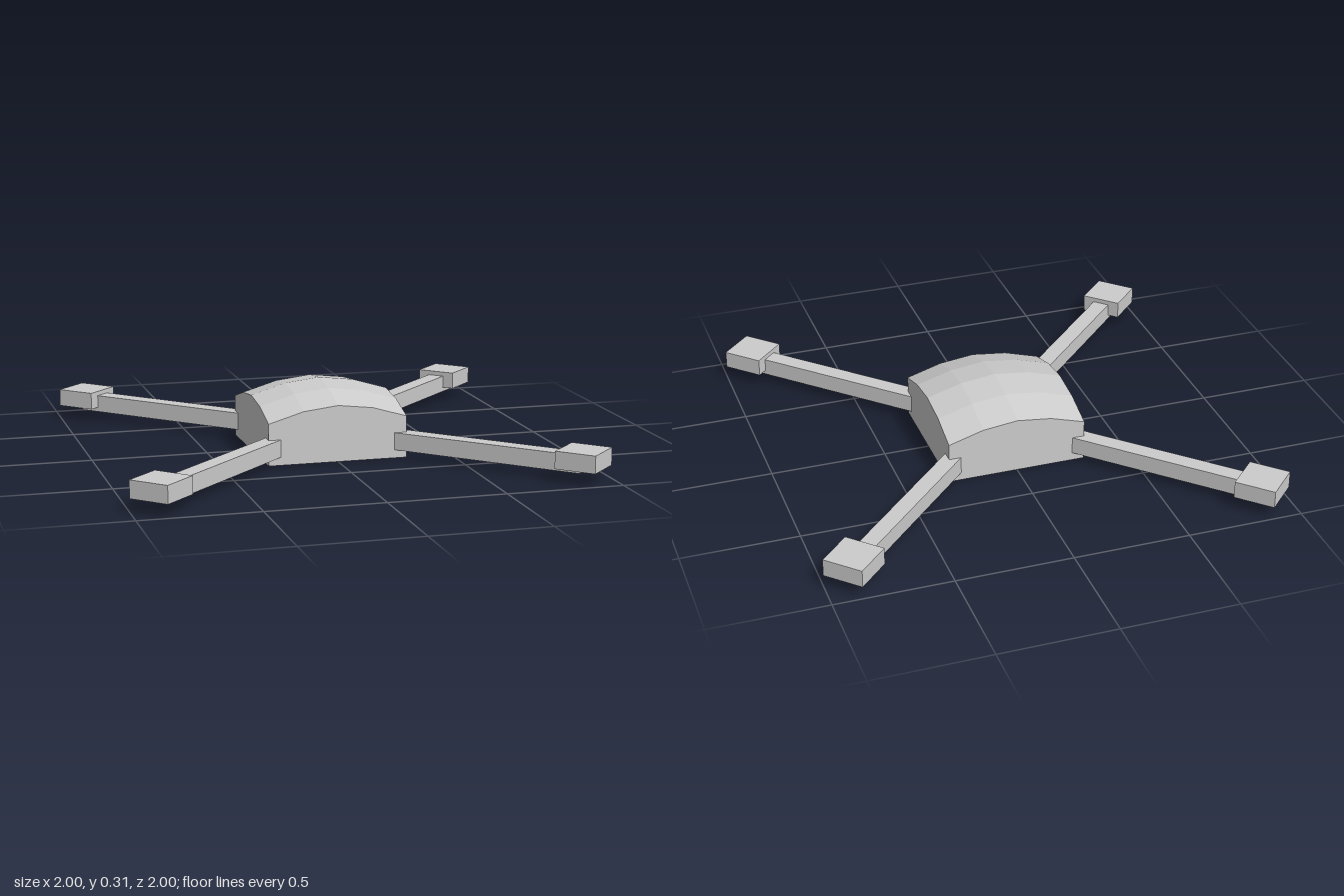
import * as THREE from 'three';

const grey = new THREE.MeshStandardMaterial({ color: 0xcccccc, flatShading: true });

function box(name, w, h, d, x, y, z) {
  const mesh = new THREE.Mesh(new THREE.BoxGeometry(w, h, d), grey);
  mesh.name = name;
  mesh.position.set(x, y, z);
  return mesh;
}

// Square hull whose lid bulges along both axes
function createHull() {
  const geo = new THREE.BoxGeometry(0.606, 1, 0.606, 4, 1, 4);
  const pos = geo.attributes.position;
  const drop = (t) => [0, 0.018, 0.063][Math.round(Math.abs(t) / 0.1515)];
  for (let i = 0; i < pos.count; i++) {
    const top = 0.306 - drop(pos.getX(i)) - drop(pos.getZ(i));
    pos.setY(i, pos.getY(i) > 0 ? top : 0);
  }
  geo.computeVertexNormals();
  const hull = new THREE.Mesh(geo, grey);
  hull.name = 'hull';
  return hull;
}

// Beam along +x with a block resting over its outer end
function createArm() {
  const arm = new THREE.Group();
  arm.name = 'arm';
  const reach = 0.875 * Math.SQRT2;
  const start = 0.3;
  arm.add(box('armBeam', reach - start, 0.075, 0.075, (reach + start) / 2, 0.0725, 0));
  arm.add(box('motorBlock', 0.177, 0.075, 0.177, reach, 0.0925, 0));
  return arm;
}

export function createModel() {
  const model = new THREE.Group();
  model.name = 'quadcopter';
  model.add(createHull());
  // Four diagonal arms
  for (let i = 0; i < 4; i++) {
    const arm = createArm();
    arm.rotation.y = Math.PI / 4 + (i * Math.PI) / 2;
    model.add(arm);
  }
  return model;
}
